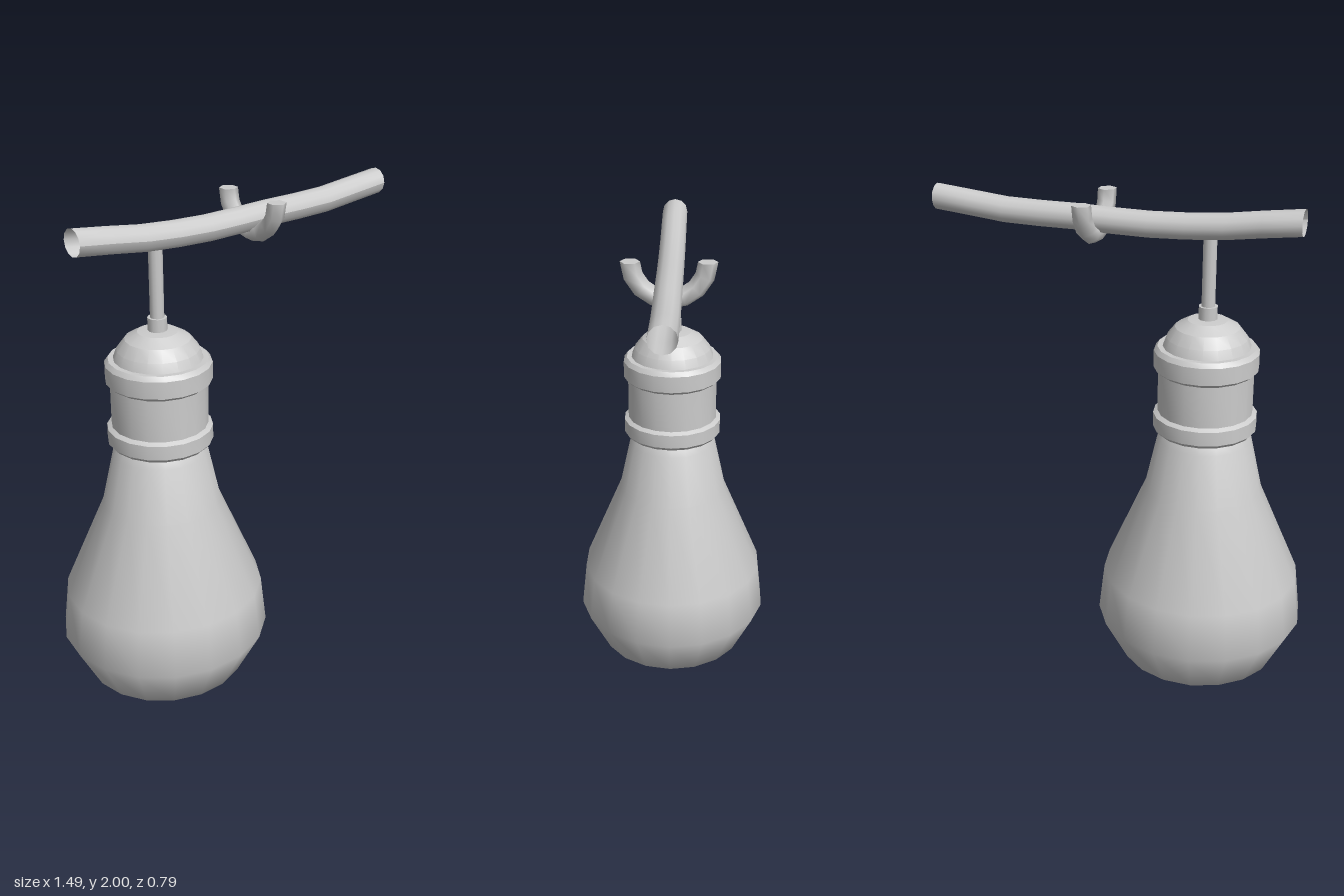
import * as THREE from 'three';
import { toCreasedNormals } from 'three/addons/utils/BufferGeometryUtils.js';

const BULB_X = -0.337;
const SIDES = 18;

const material = new THREE.MeshStandardMaterial({ color: 0xcccccc });
const openMaterial = new THREE.MeshStandardMaterial({ color: 0xcccccc, side: THREE.DoubleSide });

function addMesh(parent, name, geometry, mat = material) {
  const mesh = new THREE.Mesh(geometry, mat);
  mesh.name = name;
  parent.add(mesh);
  return mesh;
}

// Revolves [radius, height] pairs, listed from bottom to top
function turned(profile, sides = SIDES) {
  const points = profile.map(([r, y]) => new THREE.Vector2(r, y));
  return new THREE.LatheGeometry(points, sides, Math.PI / 2);
}

// Pear-shaped glass whose lowest ring is pinched into a short ridge
function bulbGeometry() {
  const geometry = turned([
    [0, 0], [0.115, 0], [0.318, 0.13], [0.412, 0.31], [0.39, 0.5],
    [0.23, 0.87], [0.183, 1.08], [0.16, 1.12],
  ]);
  const p = geometry.attributes.position;
  for (let i = 0; i < p.count; i++) {
    p.setZ(i, p.getZ(i) * (p.getY(i) < 0.01 ? 0.35 : 0.97));
  }
  return toCreasedNormals(geometry, 0.85);
}

// Straight pipe along x, bent by shifting each cross-section in height
function branchGeometry() {
  const start = -0.675, length = 1.42;
  const heights = new THREE.SplineCurve(
    [1.95, 1.912, 1.895, 1.9, 1.902, 1.93].map((y, i) => new THREE.Vector2(i, y)));
  const geometry = new THREE.CylinderGeometry(0.05, 0.05, length, 12, 10, true);
  geometry.rotateZ(-Math.PI / 2).translate(start + length / 2, 0, 0);
  const p = geometry.attributes.position;
  for (let i = 0; i < p.count; i++) {
    const t = THREE.MathUtils.clamp((p.getX(i) - start) / length, 0, 1);
    p.setY(i, p.getY(i) + heights.getPoint(t).y);
  }
  geometry.computeVertexNormals();
  return geometry;
}

export function createModel() {
  const model = new THREE.Group();
  model.name = 'hangingBulb';

  const lamp = new THREE.Group();
  lamp.name = 'lamp';
  lamp.position.x = BULB_X;
  model.add(lamp);

  addMesh(lamp, 'glassBulb', bulbGeometry());

  // Socket with a raised band at each end
  addMesh(lamp, 'socket', toCreasedNormals(turned([
    [0.155, 1.112], [0.185, 1.115], [0.199, 1.13], [0.199, 1.185], [0.182, 1.195],
    [0.182, 1.358], [0.199, 1.372], [0.199, 1.438], [0.186, 1.455], [0.155, 1.455],
  ]), 0.5));

  // Faceted dome on the socket
  addMesh(lamp, 'dome', toCreasedNormals(turned([
    [0.168, 1.45], [0.153, 1.49], [0.122, 1.53], [0.075, 1.557], [0, 1.565],
  ]), 0.38));

  // Hanging rod and its ferrule
  addMesh(lamp, 'ferrule', new THREE.CylinderGeometry(0.036, 0.036, 0.06, 12).translate(0, 1.58, 0));
  addMesh(lamp, 'rod', new THREE.CylinderGeometry(0.026, 0.026, 0.27, 12).translate(0, 1.735, 0));

  addMesh(model, 'crossPipe', branchGeometry(), openMaterial);

  // U-shaped hook under the pipe, with closed ends
  const hook = new THREE.Group();
  hook.name = 'hook';
  hook.position.set(0.105, 1.98, 0);
  hook.rotation.y = Math.PI / 2;
  model.add(hook);
  addMesh(hook, 'hookArc', new THREE.TorusGeometry(0.138, 0.036, 6, 8, Math.PI).rotateZ(Math.PI));
  for (const side of [-1, 1]) {
    addMesh(hook, 'hookEnd', new THREE.CircleGeometry(0.036, 6).rotateX(-Math.PI / 2))
      .position.x = side * 0.138;
  }

  return model;
}
